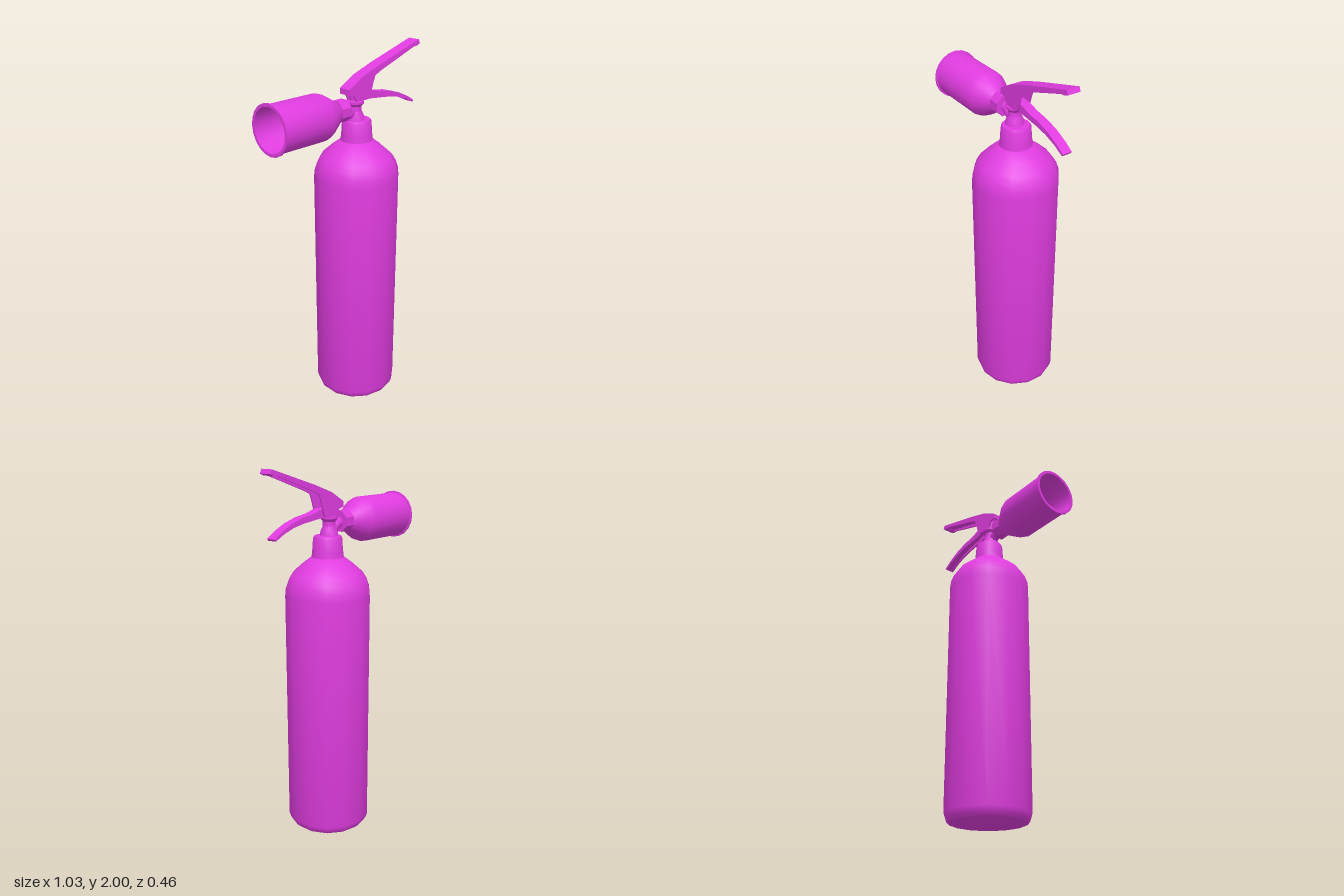
import * as THREE from 'three';
import { toCreasedNormals } from 'three/addons/utils/BufferGeometryUtils.js';

const material = new THREE.MeshStandardMaterial({ color: 0xe03ce0, side: THREE.DoubleSide });
const AXIS_X = 0.07; // vertical axis of the tank

const points = (list) => list.map(([x, y]) => new THREE.Vector2(x, y));

function addMesh(parent, name, geometry) {
  const mesh = new THREE.Mesh(geometry, material);
  mesh.name = name;
  parent.add(mesh);
  return mesh;
}

// Turned part from [radius, height] pairs, smooth round the side and sharp at hard edges
function turned(parent, name, profile, sides, crease = 0.6) {
  const lathe = new THREE.LatheGeometry(points(profile), sides);
  return addMesh(parent, name, toCreasedNormals(lathe, crease));
}

// Flat outline in x/y, extruded between z0 and z1
function slab(parent, name, outline, z0, z1) {
  const geometry = new THREE.ExtrudeGeometry(new THREE.Shape(points(outline)), {
    depth: z1 - z0, bevelEnabled: false,
  });
  geometry.translate(0, 0, z0);
  return addMesh(parent, name, toCreasedNormals(geometry, 0.5));
}

// Folded sheet lever: a top plate with a side wall on each edge
function channel(parent, name, plate, wall, half) {
  const group = new THREE.Group();
  group.name = name;
  parent.add(group);
  slab(group, name + 'Plate', plate, -half, half);
  slab(group, name + 'WallLeft', wall, half - 0.008, half);
  slab(group, name + 'WallRight', wall, -half, -half + 0.008);
  return group;
}

export function createModel() {
  const model = new THREE.Group();
  model.name = 'fireExtinguisher';

  // Tank with rounded foot and domed shoulder
  turned(model, 'tank', [
    [0, 0], [0.205, 0], [0.22, 0.015], [0.23, 0.045], [0.23, 1.33], [0.226, 1.37],
    [0.212, 1.41], [0.19, 1.445], [0.14, 1.49], [0.085, 1.532], [0, 1.54],
  ], 14).position.x = AXIS_X;

  // Neck collar
  turned(model, 'neckCollar', [
    [0.088, 1.525], [0.083, 1.56], [0.078, 1.63], [0.072, 1.642], [0, 1.646],
  ], 14).position.x = AXIS_X;

  // Valve stem under the handle
  turned(model, 'valveStem', [
    [0.05, 1.64], [0.046, 1.665], [0.034, 1.69], [0.034, 1.715],
    [0.046, 1.73], [0.046, 1.742], [0.03, 1.746], [0.03, 1.8], [0, 1.8],
  ], 12).position.x = 0.058;

  // Short outlet pipe from the stem to the nut
  const outlet = new THREE.CatmullRomCurve3([
    new THREE.Vector3(-0.03, 1.705, 0), new THREE.Vector3(0.005, 1.695, 0),
    new THREE.Vector3(0.05, 1.655, 0),
  ]);
  addMesh(model, 'outletPipe', new THREE.TubeGeometry(outlet, 6, 0.028, 10));

  // Eight-sided coupling nut
  const nut = new THREE.CylinderGeometry(0.059, 0.059, 0.062, 8);
  nut.rotateY(Math.PI / 8);
  nut.rotateZ(Math.PI / 2);
  const nutMesh = addMesh(model, 'couplingNut', toCreasedNormals(nut, 0.5));
  nutMesh.position.set(-0.051, 1.708, 0);

  // Hollow discharge horn with a rolled lip
  const horn = turned(model, 'dischargeHorn', [
    [0, 0.078], [0.052, 0.078], [0.085, 0.13], [0.112, 0.175], [0.122, 0.205],
    [0.122, 0.502], [0.131, 0.504], [0.131, 0.514], [0.115, 0.514],
    [0.115, 0.21], [0.08, 0.15], [0.02, 0.1], [0, 0.1],
  ], 20);
  horn.rotation.z = Math.PI / 2;
  horn.position.y = 1.703;

  // Fixed carrying handle: open underneath, closed at the tip
  const handleTop = [[-0.018, 1.815], [0.075, 1.867], [0.2, 1.91], [0.505, 2], [0.515, 1.978]];
  channel(model, 'carryHandle',
    [...handleTop, [0.49, 1.968], [0.48, 1.983], [0.2, 1.898], [0.08, 1.855], [-0.008, 1.806],
      [-0.008, 1.785], [-0.018, 1.785]],
    [...handleTop, [0.49, 1.968], [0.465, 1.966], [0.21, 1.878], [0.17, 1.86], [0.155, 1.82],
      [0.135, 1.755], [0.125, 1.744], [0.035, 1.744], [0.015, 1.78], [-0.018, 1.788]],
    0.035);

  // Squeeze lever below it, curving down to a flat tip
  const leverTop = [[0.06, 1.79], [0.15, 1.785], [0.21, 1.767], [0.29, 1.755], [0.37, 1.732],
    [0.44, 1.7], [0.488, 1.67], [0.482, 1.66]];
  channel(model, 'squeezeLever',
    [...leverTop, [0.44, 1.687], [0.37, 1.72], [0.29, 1.743], [0.2, 1.757], [0.15, 1.772],
      [0.06, 1.778]],
    [...leverTop, [0.46, 1.67], [0.42, 1.69], [0.35, 1.713], [0.28, 1.726], [0.2, 1.735],
      [0.12, 1.744], [0.06, 1.744]],
    0.026);

  // Pivot pin through the handle
  const pin = addMesh(model, 'pivotPin', new THREE.CylinderGeometry(0.008, 0.008, 0.07, 8));
  pin.rotation.x = Math.PI / 2;
  pin.position.set(0.1, 1.775, 0);

  return model;
}
